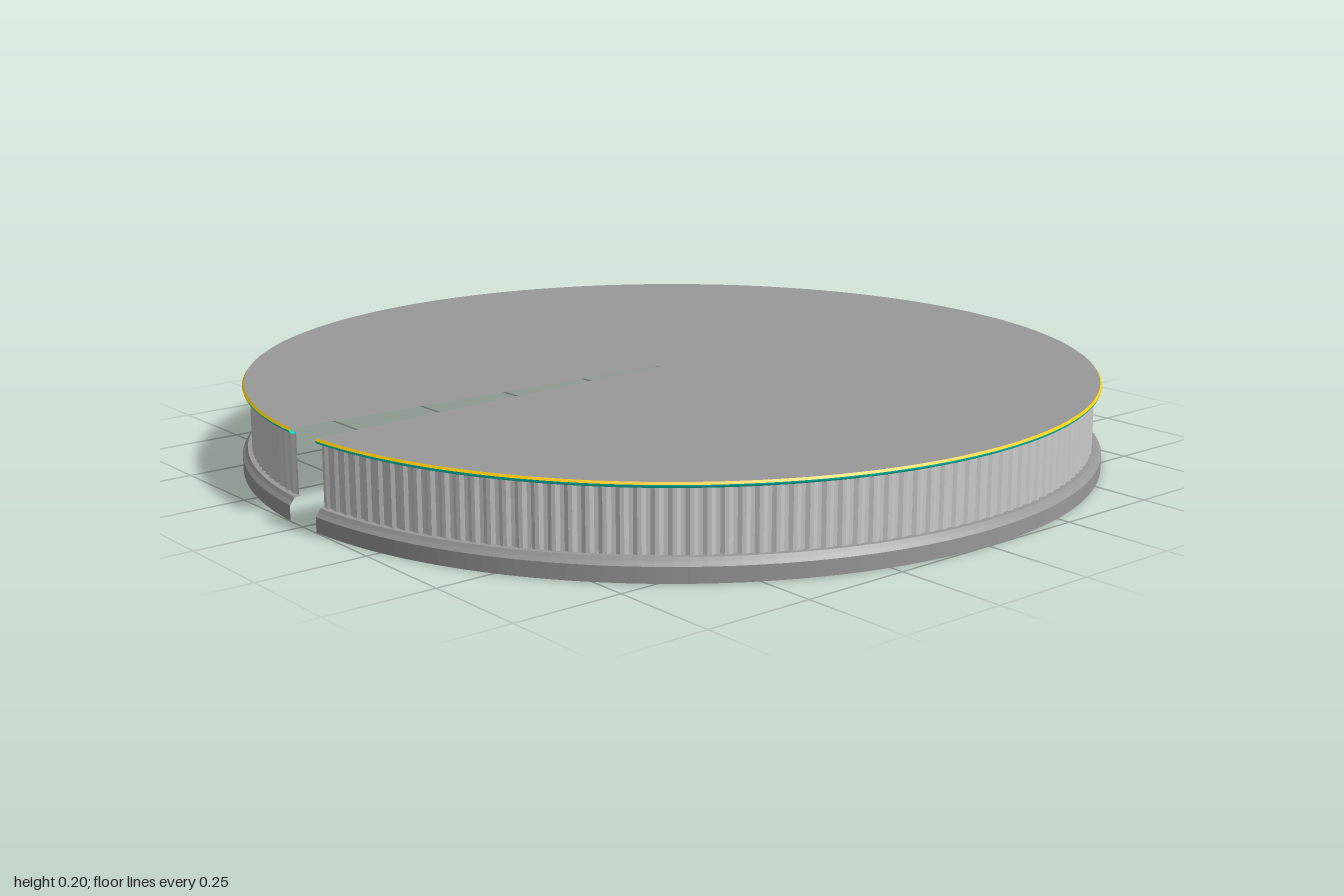
import * as THREE from 'three';

const HALF_GAP = 0.053;                       // half angle of the wedge cut at -x
const SWEEP = 2 * Math.PI - 2 * HALF_GAP;
const PLEATS = 180;

const material = (color, flatShading = false) =>
  new THREE.MeshStandardMaterial({ color, flatShading, side: THREE.DoubleSide });

// Thin sheet swept around the axis from a bottom-to-top profile, leaving the wedge open
function sweep(name, profile, mat, segments = 180) {
  const points = profile.map(([r, y]) => new THREE.Vector2(r, y));
  const geometry = new THREE.LatheGeometry(points, segments, -Math.PI / 2 + HALF_GAP, SWEEP);
  const mesh = new THREE.Mesh(geometry, mat);
  mesh.name = name;
  return mesh;
}

export function createModel() {
  const group = new THREE.Group();
  group.name = 'slottedCap';
  const darkGrey = material(0x999999);

  // Flat top with the narrow wedge cut out
  const disc = new THREE.CircleGeometry(0.99, 180, Math.PI + HALF_GAP, SWEEP);
  disc.rotateX(-Math.PI / 2);
  const top = new THREE.Mesh(disc, darkGrey);
  top.name = 'topDisc';
  top.position.y = 0.2;
  group.add(top);

  // Coloured rim: bevel above, rounded lip below
  group.add(sweep('rimBevel', [[0.994, 0.195], [0.99, 0.2]], material(0xffcc00)));
  group.add(sweep('rimLip',
    [[0.976, 0.1865], [0.986, 0.187], [0.9905, 0.189], [0.993, 0.1915], [0.994, 0.195]],
    material(0x00e6d0)));

  // Shallow pleated wall: every pleat is a ridge and a groove
  const wall = sweep('pleatedWall', [[0.978, 0.05], [0.978, 0.1865]], material(0xcccccc, true), PLEATS * 4);
  const p = wall.geometry.attributes.position;
  for (let i = 0; i < p.count; i++) {
    const column = Math.floor(i / 2);
    const k = column % 4 < 2 ? 1 : 0.974 / 0.978;
    p.setX(i, p.getX(i) * k);
    p.setZ(i, p.getZ(i) * k);
  }
  group.add(wall);

  // Skirt at the foot, open underneath
  group.add(sweep('skirt', [[1, 0], [1, 0.034], [0.993, 0.042], [0.988, 0.05], [0.973, 0.05]],
    material(0x999999, true)));

  return group;
}
